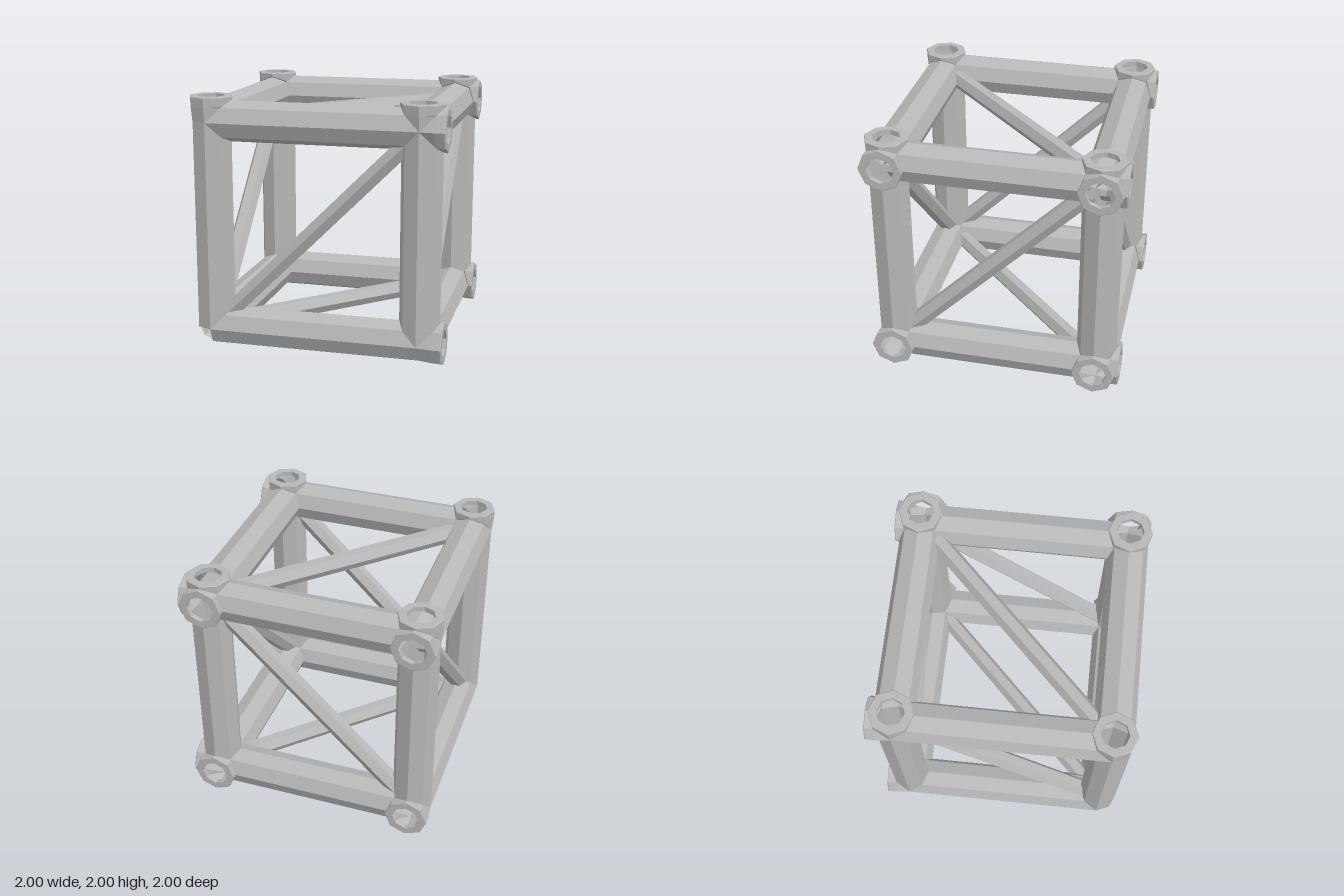
import * as THREE from 'three';

// Beam centre lines run at LOW and HIGH on each axis; sockets stick out beyond HIGH.
const LOW = -0.828, HIGH = 0.808, TIP = 1;
const BEAM_R = 0.158, ROD_R = 0.074;

const steel = new THREE.MeshStandardMaterial({ color: 0xb8b8b8, side: THREE.DoubleSide });
steel.name = 'steel grey';

// Frame coordinates have their third axis pointing to the back.
const toModel = (p) => [p[0], p[1] + 1, -p[2]];

// Flat-shaded skin over a list of equal closed rings.
function loft(rings, name) {
  const pos = [];
  for (let r = 0; r + 1 < rings.length; r++) {
    const a = rings[r], b = rings[r + 1], n = a.length;
    for (let i = 0; i < n; i++) {
      const j = (i + 1) % n;
      for (const p of [a[i], b[j], a[j], a[i], b[i], b[j]]) pos.push(...toModel(p));
    }
  }
  const geo = new THREE.BufferGeometry();
  geo.setAttribute('position', new THREE.Float32BufferAttribute(pos, 3));
  geo.computeVertexNormals();
  const mesh = new THREE.Mesh(geo, steel);
  mesh.name = name;
  return mesh;
}

// How far a tube is cut back where neighbours meet it at 45 degrees.
const miter = (d, high) => (high ? Math.abs(d) : Math.max(0, d));

// Octagonal ring around an axis; along(m) gives the position from the mitre depth m.
function octagon(axis, uHigh, vHigh, radius, along) {
  const u = (axis + 1) % 3, v = (axis + 2) % 3, ring = [];
  for (let i = 0; i < 8; i++) {
    const t = (i * Math.PI) / 4, du = Math.cos(t), dv = Math.sin(t);
    const m = BEAM_R * Math.max(miter(du, uHigh), miter(dv, vHigh));
    const p = [0, 0, 0];
    p[axis] = along(m);
    p[u] = (uHigh ? HIGH : LOW) + radius * du;
    p[v] = (vHigh ? HIGH : LOW) + radius * dv;
    ring.push(p);
  }
  return ring;
}

// Thin hexagonal brace across one face of the cube.
function brace(axis, level) {
  const u = (axis + 1) % 3, v = (axis + 2) % 3;
  const phase = axis === 1 ? Math.PI / 6 : 0;
  const rings = [LOW + 0.1, HIGH - 0.1].map((c) => {
    const ring = [];
    for (let i = 0; i < 6; i++) {
      const t = phase + (i * Math.PI) / 3, s = ROD_R * Math.sin(t) * Math.SQRT1_2;
      const p = [0, 0, 0];
      p[axis] = level + ROD_R * Math.cos(t);
      p[u] = c + s;
      p[v] = c - s;
      ring.push(p);
    }
    return ring;
  });
  return loft(rings, 'diagonalBrace');
}

export function createModel() {
  const model = new THREE.Group();
  model.name = 'trussCube';
  for (let axis = 0; axis < 3; axis++) {
    for (const uHigh of [false, true]) {
      for (const vHigh of [false, true]) {
        const ring = (radius, along) => octagon(axis, uHigh, vHigh, radius, along);
        // Mitred hollow beam
        model.add(loft([
          ring(BEAM_R, (m) => LOW + m),
          ring(BEAM_R, (m) => HIGH - m),
        ], 'beam'));
        // Flared socket with a rim and an open hole
        model.add(loft([
          ring(BEAM_R, (m) => HIGH + m),
          ring(0.17, (m) => HIGH + Math.max(0.115, m + 0.008)),
          ring(0.172, () => TIP - 0.006),
          ring(0.166, () => TIP),
          ring(0.107, () => TIP),
          ring(0.107, () => TIP - 0.04),
        ], 'socket'));
      }
    }
    model.add(brace(axis, LOW), brace(axis, HIGH));
  }
  return model;
}
